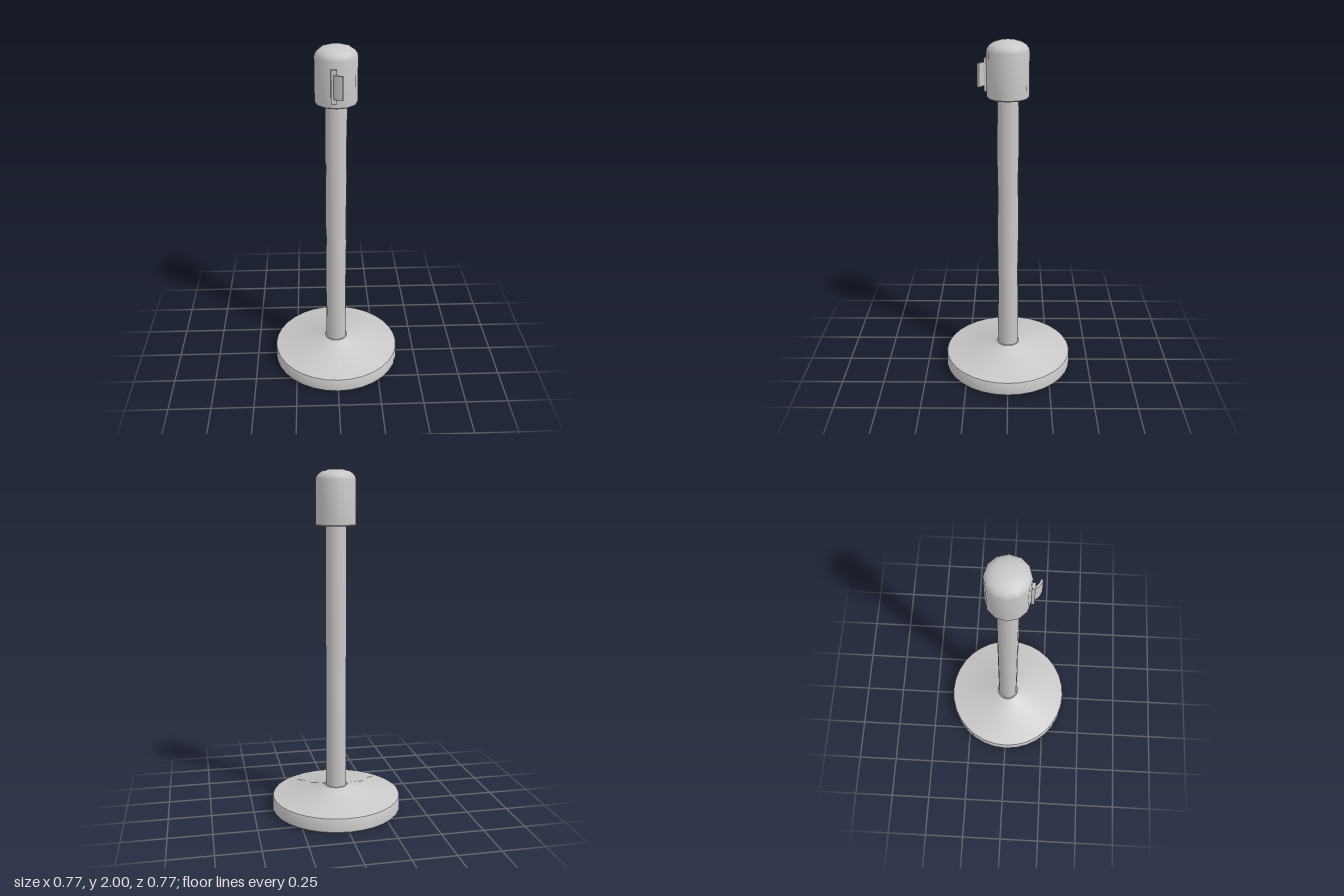
import * as THREE from 'three';
import { toCreasedNormals } from 'three/addons/utils/BufferGeometryUtils.js';

const metal = new THREE.MeshStandardMaterial({ color: 0xc8c8c8 });
metal.name = 'brushed grey';

// Turned part from [radius, height] pairs listed bottom to top
function turned(name, profile, sides) {
  const points = profile.map(([r, y]) => new THREE.Vector2(r, y));
  const geometry = toCreasedNormals(new THREE.LatheGeometry(points, sides), 0.65);
  return part(name, geometry);
}

function part(name, geometry) {
  const mesh = new THREE.Mesh(geometry, metal);
  mesh.name = name;
  return mesh;
}

// Short belt end: a curved strip drawn in plan and extruded upwards
function beltTab() {
  const curve = new THREE.CubicBezierCurve(
    new THREE.Vector2(-0.014, 0.126), new THREE.Vector2(-0.012, 0.142),
    new THREE.Vector2(0.002, 0.152), new THREE.Vector2(0.03, 0.161));
  const half = 0.006, left = [], right = [];
  for (let i = 0; i <= 6; i++) {
    const p = curve.getPoint(i / 6), t = curve.getTangent(i / 6);
    left.push(new THREE.Vector2(p.x - t.y * half, -(p.y + t.x * half)));
    right.unshift(new THREE.Vector2(p.x + t.y * half, -(p.y - t.x * half)));
  }
  const geometry = new THREE.ExtrudeGeometry(new THREE.Shape([...left, ...right]),
    { depth: 0.128, bevelEnabled: false });
  geometry.rotateX(-Math.PI / 2).translate(0, 1.75, 0);
  return part('beltTab', toCreasedNormals(geometry, 0.65));
}

export function createModel() {
  const model = new THREE.Group();
  model.name = 'queueBarrierPost';

  // Weighted base with a shallow cone and a small collar
  model.add(turned('base', [
    [0, 0], [0.379, 0], [0.385, 0.007], [0.385, 0.078], [0.381, 0.085],
    [0.37, 0.089], [0.08, 0.131], [0.068, 0.141], [0, 0.141],
  ], 32));

  // Upright tube
  model.add(turned('post', [[0.061, 0.12], [0.061, 1.7]], 16));

  // Domed head
  model.add(turned('head', [
    [0, 1.686], [0.111, 1.686], [0.117, 1.692], [0.117, 1.94], [0.113, 1.957],
    [0.1, 1.974], [0.078, 1.988], [0.045, 1.997], [0, 2],
  ], 12));

  // Belt slot plate
  const plate = new THREE.BoxGeometry(0.032, 0.18, 0.018);
  plate.translate(-0.016, 1.811, 0.122);
  model.add(part('slotPlate', plate));
  model.add(beltTab());

  return model;
}
